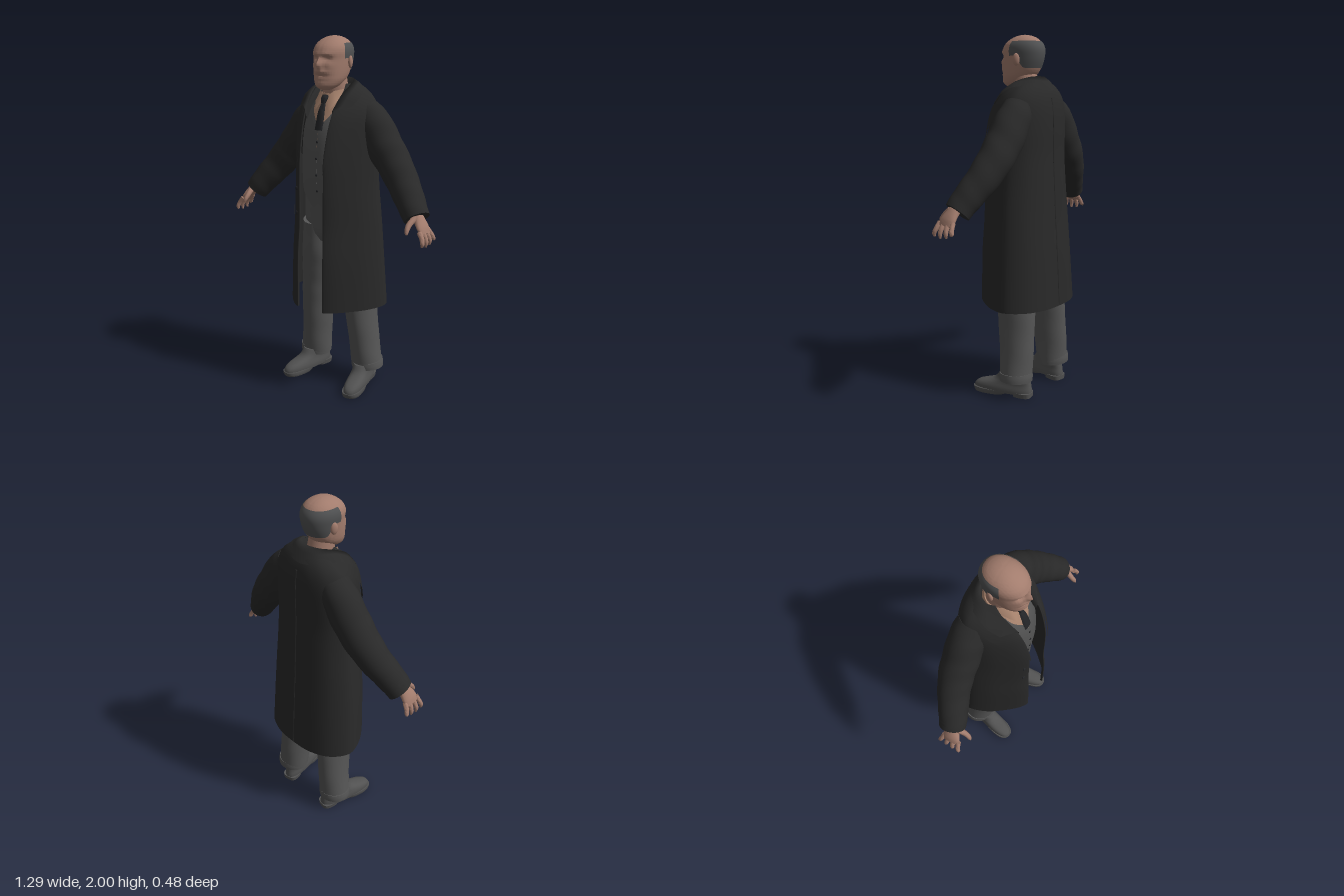
import * as THREE from 'three';
import { toCreasedNormals } from 'three/addons/utils/BufferGeometryUtils.js';

const V = (x, y, z) => new THREE.Vector3(x, y, z);
const mat = (name, color, side = THREE.FrontSide) => {
  const m = new THREE.MeshStandardMaterial({ color, side });
  m.name = name;
  return m;
};
const lerp = THREE.MathUtils.lerp;
const range = (a, b, n) => Array.from({ length: n + 1 }, (_, i) => lerp(a, b, i / n));
const bump = (d, s) => Math.exp(-(d * d) / (2 * s * s));

// Smoothly interpolate rows of [y, a, b, c...] at a height
function interp(L, y) {
  let i = 0;
  while (i < L.length - 2 && y > L[i + 1][0]) i++;
  const p = L[i], q = L[i + 1], h = q[0] - p[0], t = THREE.MathUtils.clamp((y - p[0]) / h, 0, 1);
  const slope = (j, k) => {
    const a = L[Math.max(j - 1, 0)], b = L[Math.min(j + 1, L.length - 1)];
    return (b[k] - a[k]) / (b[0] - a[0]);
  };
  return p.slice(1).map((_, n) => {
    const k = n + 1, t2 = t * t, t3 = t2 * t;
    return (2 * t3 - 3 * t2 + 1) * p[k] + (t3 - 2 * t2 + t) * h * slope(i, k)
      + (3 * t2 - 2 * t3) * q[k] + (t3 - t2) * h * slope(i + 1, k);
  });
}

// Skin rows of points; closed rows wrap round, cap closes both ends
function grid(rows, closed, cap = false) {
  if (cap) {
    const mid = r => { const c = V(0, 0, 0); r.forEach(p => c.add(p)); c.divideScalar(r.length); return r.map(() => c); };
    rows = [mid(rows[0]), ...rows, mid(rows[rows.length - 1])];
  }
  const n = rows[0].length, idx = [];
  for (let i = 0; i < rows.length - 1; i++) for (let j = 0; j < (closed ? n : n - 1); j++) {
    const a = i * n + j, b = i * n + (j + 1) % n;
    idx.push(a, b, a + n, b, b + n, a + n);
  }
  const g = new THREE.BufferGeometry().setFromPoints(rows.flat());
  g.setIndex(idx);
  if (cap) return toCreasedNormals(g, 0.9);
  g.computeVertexNormals();
  return g;
}

// Horizontal oval of half width w between zf and zb
const oval = (w, zf, zb, y, a, e = 1) => {
  const c = Math.cos(a), s = Math.sin(a);
  return V(w * Math.sign(c) * Math.abs(c) ** e, y, (zf + zb) / 2 - (zf - zb) / 2 * Math.sign(s) * Math.abs(s) ** e);
};
const angles = n => range(0, Math.PI * 2, n).slice(0, n);
const loft = (L, rows = 14, e = 1, n = 32) => grid(range(L[0][0], L[L.length - 1][0], rows)
  .map(y => angles(n).map(a => oval(...interp(L, y), y, a, e))), true, true);

// Tube through [x, y, z, side radius, depth radius]
function limb(P, steps = 20, n = 20, ripple = 0) {
  const curve = new THREE.CatmullRomCurve3(P.map(p => V(p[0], p[1], p[2])));
  const radii = P.map((p, i) => [i / (P.length - 1), p[3], p[4]]);
  return grid(range(0, 1, steps).map(t => {
    const c = curve.getPoint(t), T = curve.getTangent(t), D = V(0, 0, 1);
    D.addScaledVector(T, -D.dot(T)).normalize();
    const S = D.clone().cross(T), [rs, rd] = interp(radii, t);
    return angles(n).map(a => {
      const k = 1 + ripple * Math.sin(t * 34 + 2 * Math.sin(a));
      return c.clone().addScaledVector(S, Math.cos(a) * rs * k).addScaledVector(D, Math.sin(a) * rd * k);
    });
  }), true, true);
}

// Coat heights: y, half width, opening, front z, back z
const COAT = [[0.51, .305, .085, .24, -.235], [0.8, .285, .085, .235, -.22], [1.0, .27, .08, .222, -.207],
  [1.2, .252, .08, .22, -.197], [1.35, .245, .08, .213, -.19], [1.5, .243, .085, .185, -.19],
  [1.6, .235, .09, .15, -.185], [1.67, .205, .095, .1, -.172], [1.72, .15, .095, .05, -.15], [1.75, .1, .08, .01, -.125]];
const FX = [0, 0, .2, .52, .86, 1], GZ = [.97, 1, .95, .8, .58, .35];
function coatCurve(y) {
  const [w, e, zf, zb] = interp(COAT, y), z = g => zb + (zf - zb) * g;
  const half = FX.map((f, i) => V(e + (w - e) * f, y, z(GZ[i])));
  half.push(V(w * .8, y, z(.14)), V(w * .43, y, z(.025)));
  return new THREE.CatmullRomCurve3([...half, V(0, y, zb), ...half.map(p => V(-p.x, p.y, p.z)).reverse()]);
}
// Patch lying just over the coat; u counts profile points from the opening
const patch = (s, y0, y1, u0, u1, k) => grid(range(0, 1, 14).map(v => {
  const y = lerp(y0, y1, v), c = coatCurve(y);
  return range(u0(v), u1(v), 8).map(u => {
    const p = c.getPoint(u / 16);
    return V(s * p.x * k, y, (p.z + .03) * k - .03);
  });
}), false);

// Head heights: y, half width, front z, back z
const HEAD = [[1.722, .03, .11, .045], [1.74, .058, .13, 0], [1.77, .077, .134, -.045], [1.8, .085, .135, -.075],
  [1.84, .09, .134, -.095], [1.88, .093, .131, -.107], [1.92, .095, .131, -.11], [1.95, .088, .115, -.1],
  [1.975, .069, .085, -.078], [1.99, .045, .055, -.05], [1.997, .024, .03, -.025], [2.0, .004, .006, -.002]];
function headPoint(y, a, k = 1) {
  const [w, zf, zb] = interp(HEAD, y), p = oval(w * k, zf, zb, y, a, .93), x = Math.abs(p.x);
  p.z = (p.z - (zf + zb) / 2) * k + (zf + zb) / 2;
  if (Math.sin(a) < -.2) {
    p.z += .028 * bump(x, .011) * bump(y - 1.853, .016) + .012 * bump(x, .009) * bump(y - 1.88, .015)  // nose
      + .007 * bump(x - .03, .022) * bump(y - 1.908, .008) - .013 * bump(x - .034, .015) * bump(y - 1.885, .011) // brow, eyes
      + .012 * bump(x, .028) * bump(y - 1.818, .009) - .007 * bump(x, .025) * bump(y - 1.797, .005) // moustache, mouth
      + .007 * bump(x, .025) * bump(y - 1.75, .014) + .005 * bump(x - .05, .016) * bump(y - 1.85, .016);
  }
  return p;
}

export function createModel() {
  const root = new THREE.Group();
  root.name = 'manInOvercoat';
  const M = {
    coat: mat('coatBlack', 0x292929, THREE.DoubleSide), trouser: mat('trouserGrey', 0x555555),
    vest: mat('waistcoatGrey', 0x535353, THREE.DoubleSide), skin: mat('skin', 0xa27c6d),
    hair: mat('hairGrey', 0x505152, THREE.DoubleSide), shirt: mat('shirtTan', 0xab8670, THREE.DoubleSide),
    tie: mat('tieBlack', 0x242528), shoe: mat('shoeGrey', 0x515151),
  };
  const add = (name, geo, m) => {
    const mesh = new THREE.Mesh(geo, m);
    mesh.name = name;
    root.add(mesh);
    return mesh;
  };

  // Head, hair fringe and neck
  const ys = range(0, 1, 60).map(t => lerp(1.722, 2, 1 - (1 - t) ** 1.25));
  add('head', grid(ys.map(y => angles(88).map(a => headPoint(y, a))), true, true), M.skin);
  add('hair', grid(range(0, 1, 16).map(v => range(-.22, Math.PI + .22, 44).map(a => {
    const s = Math.sin(a), low = 1.885 - .065 * THREE.MathUtils.smoothstep(s, 0, .6);
    return headPoint(lerp(low, 1.963, v), a, 1.035);
  })), false), M.hair);
  add('neck', limb([[0, 1.6, -.03, .075, .08], [0, 1.7, -.01, .07, .075], [0, 1.8, .01, .068, .07]]), M.skin);

  // Shirt, collar points and tie
  add('shirt', loft([[1.4, .16, .145, -.14], [1.52, .16, .13, -.14], [1.6, .14, .102, -.13], [1.66, .1, .08, -.11], [1.7, .076, .066, -.09]]), M.shirt);
  for (const s of [1, -1]) add('shirtCollar', grid([
    [V(s * .004, 1.685, .082), V(s * .045, 1.715, .068), V(s * .078, 1.725, .01)],
    [V(s * .045, 1.615, .115), V(s * .068, 1.655, .085), V(s * .088, 1.69, .01)]], false), M.shirt);
  add('tieKnot', limb([[0, 1.69, .083, .02, .01], [0, 1.672, .096, .02, .013], [0, 1.65, .106, .012, .01]], 8, 12), M.tie);
  add('tieBlade', limb([[0, 1.655, .1, .012, .007], [0, 1.6, .124, .022, .009], [0, 1.51, .147, .027, .008]], 10, 12), M.tie);

  // Waistcoat with open neck and pointed hem
  const VEST = [[1.06, .175, .15, -.14], [1.2, .18, .165, -.145], [1.32, .18, .171, -.15], [1.45, .178, .162, -.15],
    [1.53, .172, .146, -.15], [1.6, .155, .119, -.14], [1.66, .12, .09, -.12]];
  add('waistcoat', grid(range(0, 1, 28).map(v => range(0, 1, 64).map(u => {
    const a0 = -Math.PI / 2, x0 = Math.abs(Math.sin(u * Math.PI * 2) * .175);
    const y = lerp(1.075 + Math.abs(x0 - .035) * .9, 1.66, v);
    const gap = .002 + Math.max(0, y - 1.53) * 5.5;
    return oval(...interp(VEST, y), y, lerp(a0 + gap, a0 + Math.PI * 2 - gap, u));
  })), false), M.vest);
  for (const y of [1.18, 1.27, 1.36, 1.45]) {
    const b = add('waistcoatButton', new THREE.SphereGeometry(.007, 10, 8), M.tie);
    b.position.set(0, y, interp(VEST, y)[1] + .001);
    b.scale.z = .5;
  }

  // Trousers and shoes
  add('trouserSeat', loft([[.87, .13, .09, -.1], [.93, .175, .125, -.135], [1.05, .18, .14, -.14], [1.2, .17, .15, -.135]]), M.trouser);
  for (const s of [1, -1]) {
    add('trouserLeg', limb([[s * .09, .98, 0, .09, .13], [s * .107, .8, -.01, .094, .125], [s * .13, .65, -.03, .089, .12],
      [s * .15, .5, -.045, .085, .115], [s * .168, .3, -.06, .083, .103], [s * .186, .1, -.07, .091, .09]], 36, 28, .006), M.trouser);
    add('trouserCuff', limb([[s * .187, .142, -.069, .091, .093], [s * .188, .12, -.07, .094, .094], [s * .189, .098, -.07, .094, .092]], 6, 28), M.trouser);
    const shoe = new THREE.Group();
    shoe.name = 'shoe';
    shoe.position.x = s * .187;
    shoe.rotation.y = s * .2;
    const part = (name, L, e) => { const m = add(name, loft(L, 10, e), M.shoe); shoe.add(m); };
    part('shoeUpper', [[.018, .054, .195, -.155], [.04, .056, .193, -.155], [.06, .053, .17, -.152], [.075, .05, .12, -.15],
      [.09, .05, .07, -.148], [.13, .05, .035, -.142]], .8);
    part('shoeSole', [[0, .054, .192, .0], [.012, .057, .198, -.01], [.026, .057, .2, -.03]], .8);
    part('shoeHeel', [[0, .046, -.05, -.156], [.026, .05, -.045, -.158]], .65);
    root.add(shoe);
  }

  // Overcoat body
  add('coatBody', grid(range(.51, 1.75, 44).map(y => {
    const c = coatCurve(y);
    return range(0, 1, 80).map(t => c.getPoint(t));
  }), false), M.coat);
  // Raised back seam
  add('coatBackSeam', limb(range(.515, 1.66, 12).map(y => [0, y, interp(COAT, y)[3], .006, .005]), 24, 8), M.coat);

  // Turned collar from fold line to outer edge
  const fold = [[.09, 1.62, .15], [.1, 1.7, .078], [.1, 1.748, -.005], [.07, 1.772, -.08], [0, 1.776, -.105]];
  const outer = [[.165, 1.632, .09], [.18, 1.685, .025], [.165, 1.718, -.04], [.11, 1.712, -.13], [0, 1.7, -.165]];
  const round = H => new THREE.CatmullRomCurve3([...H.map(p => V(...p)), ...H.slice(0, -1).reverse().map(p => V(-p[0], p[1], p[2]))]).getPoints(48);
  const inner = fold.map(p => [p[0] * .9, p[1] - .06, p[2] * .95]);
  const middle = fold.map((p, i) => p.map((v, k) => lerp(v, outer[i][k], .45) + (k === 1 ? .008 : 0)));
  add('coatCollar', grid([outer, middle, fold, inner].map(round), false), M.coat);

  for (const s of [1, -1]) {
    // Lapel, pocket welt and sleeve
    add('coatLapel', patch(s, 1.29, 1.625, () => 1, v => 1.02 + 2.65 * v, 1.045), M.coat);
    add('coatPocket', patch(s, .99, 1.14, v => 3.5 - .3 * v, v => 3.72 - .3 * v, 1.02), M.coat);
    add('coatSleeve', limb([[s * .15, 1.61, -.065, .08, .085], [s * .21, 1.535, -.068, .1, .095], [s * .285, 1.425, -.062, .102, .098],
      [s * .36, 1.33, -.052, .095, .094], [s * .435, 1.235, -.025, .086, .086], [s * .5, 1.155, .01, .077, .08],
      [s * .55, 1.088, .035, .068, .074]], 44, 28, .014), M.coat);

    // Ear
    const ear = add('ear', new THREE.SphereGeometry(1, 16, 12), M.skin);
    ear.scale.set(.012, .033, .02);
    ear.position.set(s * .097, 1.865, -.008);
    ear.rotation.y = s * .35;

    // Hand with four fingers and thumb
    add('palm', limb([[s * .545, 1.115, .04, .028, .034], [s * .573, 1.085, .047, .025, .04], [s * .6, 1.05, .056, .02, .05], [s * .617, 1.022, .06, .012, .046]], 14, 18), M.skin);
    for (let i = 0; i < 4; i++) {
      const z = .017 + i * .029, tip = [.982, .964, .96, .968][i], f = (i - 1.5) * .01;
      add('finger', limb([[s * .605, 1.04, z, .013, .014], [s * .626, 1.008, z + f * .5, .0125, .013],
        [s * .634, .985, z + f, .011, .0115], [s * .632, tip, z + f, .006, .006]], 10, 10), M.skin);
    }
    add('thumb', limb([[s * .56, 1.1, .07, .018, .018], [s * .55, 1.072, .115, .015, .015], [s * .552, 1.045, .14, .012, .012], [s * .555, 1.028, .148, .006, .006]], 10, 10), M.skin);
  }

  // Coat buttons beside the opening
  for (const y of [1.05, 1.19]) {
    const b = add('coatButton', new THREE.SphereGeometry(.012, 12, 8), M.tie);
    b.position.copy(coatCurve(y).getPoint(14.2 / 16));
    b.scale.z = .5;
  }
  return root;
}
